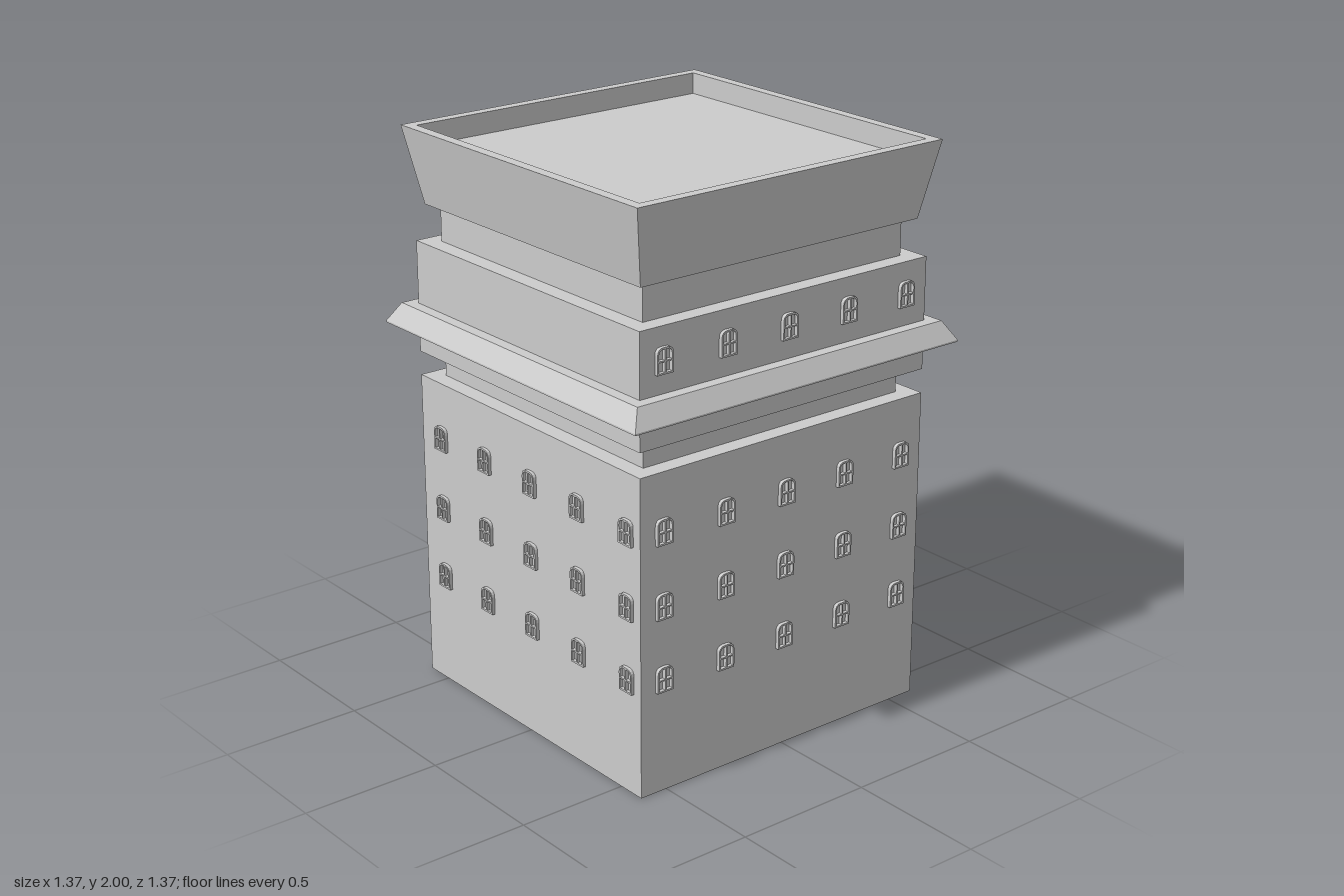
import * as THREE from 'three';

const material = new THREE.MeshStandardMaterial({ color: 0xcccccc, flatShading: true });

// Square storey: profile of [half-width, y] pairs swept around four sides
function squareTier(name, profile) {
  const points = profile.map(([half, y]) => new THREE.Vector2(half * Math.SQRT2, y));
  const geometry = new THREE.LatheGeometry(points, 4).rotateY(Math.PI / 4).toNonIndexed();
  geometry.computeVertexNormals();
  const mesh = new THREE.Mesh(geometry, material);
  mesh.name = name;
  return mesh;
}

const block = (name, half, y0, y1) =>
  squareTier(name, [[0, y0], [half, y0], [half, y1], [0, y1]]);

// Arched outline between x0 and x1; the top corners listed are rounded off
function paneOutline(Type, x0, x1, y0, y1, roundLeft, roundRight, r) {
  const p = new Type();
  p.moveTo(x0, y0);
  p.lineTo(x1, y0);
  if (roundRight) {
    p.lineTo(x1, y1 - r);
    p.quadraticCurveTo(x1, y1, x1 - r, y1);
  } else p.lineTo(x1, y1);
  if (roundLeft) {
    p.lineTo(x0 + r, y1);
    p.quadraticCurveTo(x0, y1, x0, y1 - r);
  } else p.lineTo(x0, y1);
  p.closePath();
  return p;
}

// Window frame with a cross of glazing bars, origin at the middle of the sill
function windowGeometry(depth) {
  const w = 0.032, h = 0.088, f = 0.006, bar = 0.0025, mid = 0.043;
  const shape = paneOutline(THREE.Shape, -w, w, 0, h, true, true, 0.024);
  for (const s of [-1, 1]) {
    const x0 = s < 0 ? -w + f : bar, x1 = s < 0 ? -bar : w - f;
    shape.holes.push(
      paneOutline(THREE.Path, x0, x1, f, mid - bar, false, false, 0),
      paneOutline(THREE.Path, x0, x1, mid + bar, h - f, s < 0, s > 0, 0.018));
  }
  return new THREE.ExtrudeGeometry(shape, { depth: depth + 0.01, bevelEnabled: false, curveSegments: 4 })
    .translate(0, 0, -0.01);
}

// Rows of five windows on one wall
function windowWall(name, angle, rows, depth, shift) {
  const wall = new THREE.Group();
  wall.name = name;
  const geometry = windowGeometry(depth);
  for (const y of rows) {
    for (let i = -2; i <= 2; i++) {
      const pane = new THREE.Mesh(geometry, material);
      pane.name = 'window';
      pane.position.set(i * 0.256 + shift, y, 0.604);
      wall.add(pane);
    }
  }
  wall.rotation.y = angle;
  return wall;
}

export function createModel() {
  const tower = new THREE.Group();
  tower.name = 'tower';

  // Stacked storeys
  tower.add(
    block('mainBody', 0.604, 0, 1.122),
    block('lowerNeck', 0.543, 1.122, 1.207),
    block('upperStorey', 0.604, 1.207, 1.602),
    block('upperNeck', 0.543, 1.602, 1.73));

  // Sloped ledge around the upper storey
  tower.add(squareTier('cornice', [
    [0.6, 1.308], [0.685, 1.308], [0.685, 1.314], [0.645, 1.38], [0.6, 1.38]]));

  // Flared parapet with a sunken flat roof
  tower.add(squareTier('parapet', [
    [0, 1.73], [0.58, 1.73], [0.631, 2], [0.593, 2], [0.593, 1.925], [0, 1.925]]));

  // Windows on the front and both sides; the back is plain
  const rows = [0.363, 0.62, 0.878];
  tower.add(
    windowWall('frontWindows', 0, [...rows, 1.448], 0.013, 0),
    windowWall('leftWindows', Math.PI / 2, rows, 0.021, -0.025),
    windowWall('rightWindows', -Math.PI / 2, rows, 0.012, 0.025));

  return tower;
}
